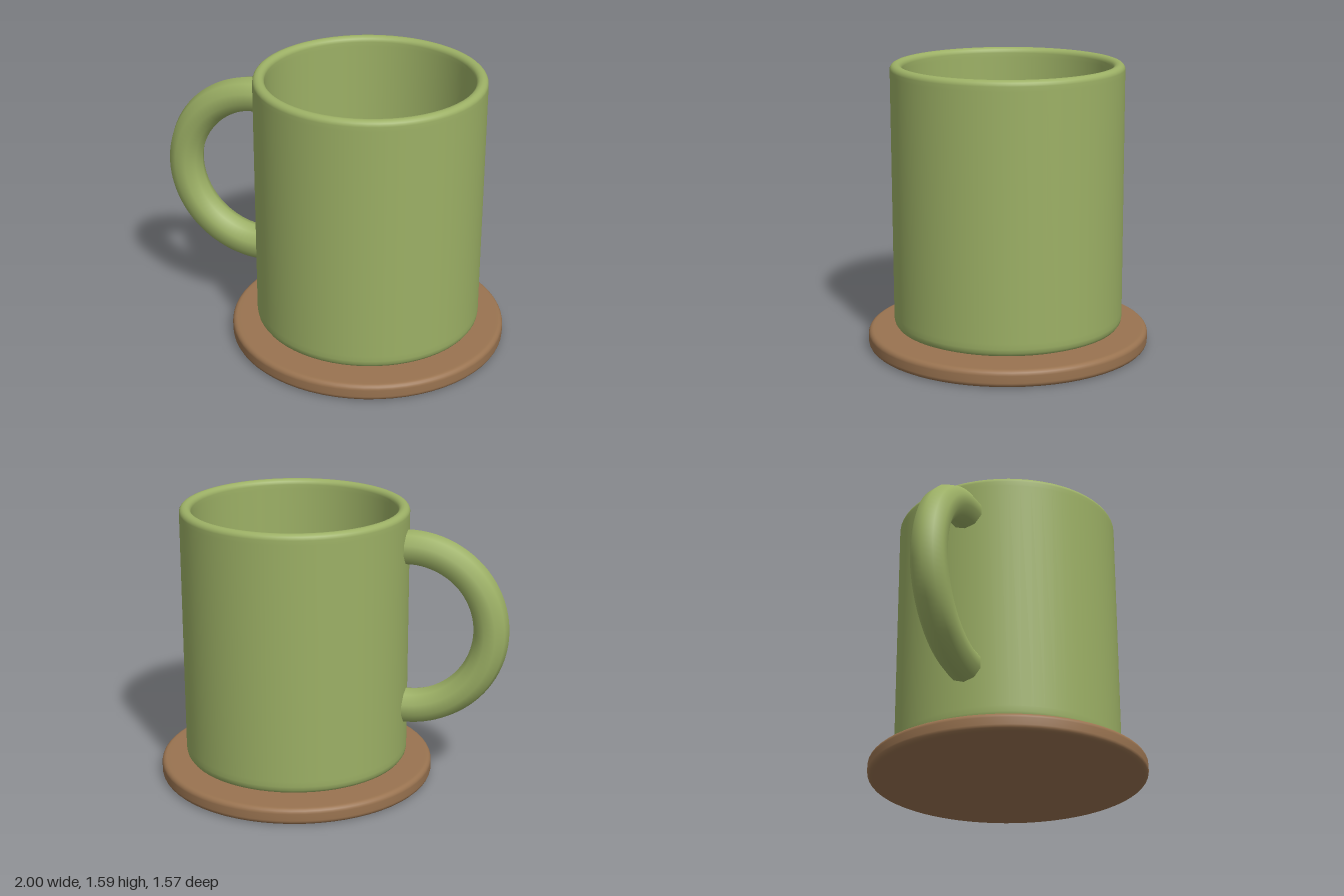
import * as THREE from 'three';

const AXIS_X = 0.215; // shared axis of the cup and coaster

// Quarter-round corner points for a lathe profile
function corner(cx, cy, r, from, to, steps = 5) {
  return Array.from({ length: steps + 1 }, (_, i) => {
    const a = THREE.MathUtils.degToRad(from + ((to - from) * i) / steps);
    return [cx + r * Math.cos(a), cy + r * Math.sin(a)];
  });
}

function lathe(name, profile, material) {
  const points = profile.map(([x, y]) => new THREE.Vector2(x, y));
  const mesh = new THREE.Mesh(new THREE.LatheGeometry(points, 64), material);
  mesh.name = name;
  mesh.position.x = AXIS_X;
  return mesh;
}

export function createModel() {
  const group = new THREE.Group();
  group.name = 'mugOnCoaster';

  const green = new THREE.MeshStandardMaterial({ color: 0x9cb065 });
  green.name = 'green glaze';
  const brown = new THREE.MeshStandardMaterial({ color: 0x997350 });
  brown.name = 'brown wood';

  // Coaster: disc with rounded edges
  group.add(lathe('coaster', [
    [0, 0], [0.74, 0],
    ...corner(0.757, 0.028, 0.028, -90, 0),
    ...corner(0.757, 0.067, 0.028, 0, 90),
    [0.74, 0.095], [0, 0.095],
  ], brown));

  // Cup: softened foot, straight wall, rounded rim, hollow inside with a floor fillet
  group.add(lathe('cup', [
    [0, 0.097], [0.53, 0.097], [0.55, 0.099], [0.6, 0.112], [0.625, 0.122],
    [0.636, 0.138], [0.64, 0.16], [0.64, 0.19], [0.64, 1.53],
    ...corner(0.61, 1.555, 0.03, 0, 90),
    ...corner(0.605, 1.555, 0.03, 90, 180),
    [0.575, 1.53], [0.575, 0.27],
    ...corner(0.515, 0.24, 0.06, 0, -90),
    [0.5, 0.18], [0, 0.18],
  ], green));

  // Handle: half ring whose ends sink slightly into the wall
  const sink = 0.08;
  const handle = new THREE.Mesh(
    new THREE.TorusGeometry(0.467, 0.1, 10, 48, Math.PI + 2 * sink), green);
  handle.name = 'handle';
  handle.rotation.z = Math.PI / 2 - sink;
  handle.position.set(-0.433, 0.912, 0);
  group.add(handle);

  return group;
}
